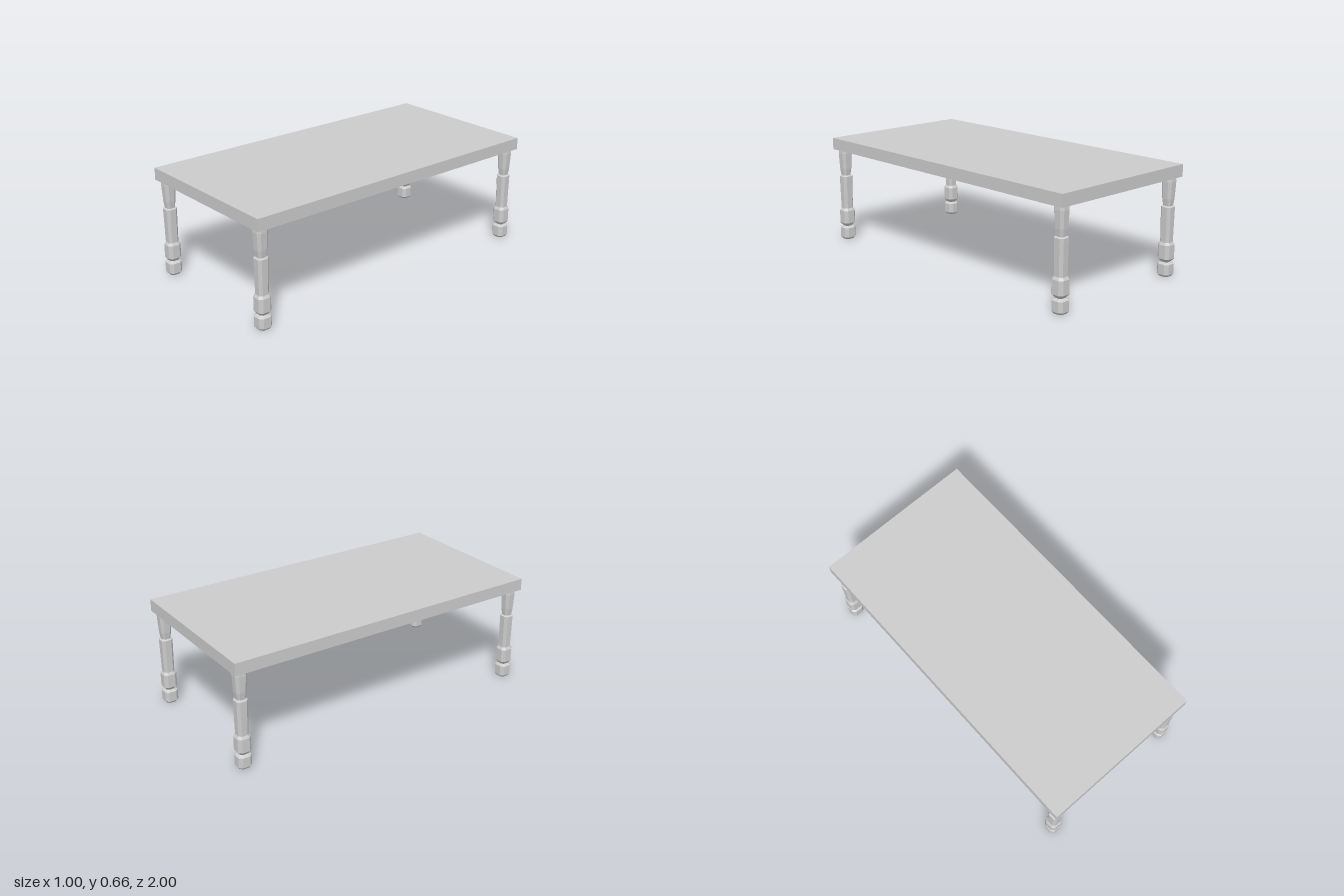
import * as THREE from 'three';

const material = new THREE.MeshStandardMaterial({ color: 0xcccccc, flatShading: true });

// Turned leg: [half width, height] from floor to tabletop
const LEG_PROFILE = [
  [0, 0], [0.031, 0], [0.0415, 0.013], [0.0415, 0.075], [0.025, 0.087],
  [0.0415, 0.108], [0.0415, 0.19], [0.032, 0.206], [0.035, 0.41],
  [0.035, 0.416], [0.025, 0.422], [0.031, 0.465], [0.036, 0.565],
  [0.034, 0.592], [0, 0.592],
];
const FLAT = 0.55; // share of the width taken by each broad face

// Eight-sided lathe reshaped into a square section with chamfered corners
function legGeometry() {
  const points = LEG_PROFILE.map(([r, y]) => new THREE.Vector2(r, y));
  const geometry = new THREE.LatheGeometry(points, 8, Math.PI / 8);
  const wide = 1 / Math.cos(Math.PI / 8);
  const narrow = FLAT / Math.sin(Math.PI / 8);
  const pos = geometry.attributes.position;
  for (let i = 0; i < pos.count; i++) {
    const x = pos.getX(i), z = pos.getZ(i);
    const xWide = Math.abs(x) > Math.abs(z);
    pos.setX(i, x * (xWide ? wide : narrow));
    pos.setZ(i, z * (xWide ? narrow : wide));
  }
  geometry.computeVertexNormals();
  return geometry;
}

export function createModel() {
  const table = new THREE.Group();
  table.name = 'table';

  // Tabletop slab
  const top = new THREE.Mesh(new THREE.BoxGeometry(1, 0.073, 2), material);
  top.name = 'tabletop';
  top.position.y = 0.6265;
  table.add(top);

  // One leg near each corner
  const geometry = legGeometry();
  for (const [end, sz] of [['front', 1], ['back', -1]]) {
    for (const [side, sx] of [['Left', 1], ['Right', -1]]) {
      const leg = new THREE.Mesh(geometry, material);
      leg.name = `${end}${side}Leg`;
      leg.position.set(sx * 0.446, 0, sz * 0.948);
      table.add(leg);
    }
  }
  return table;
}
